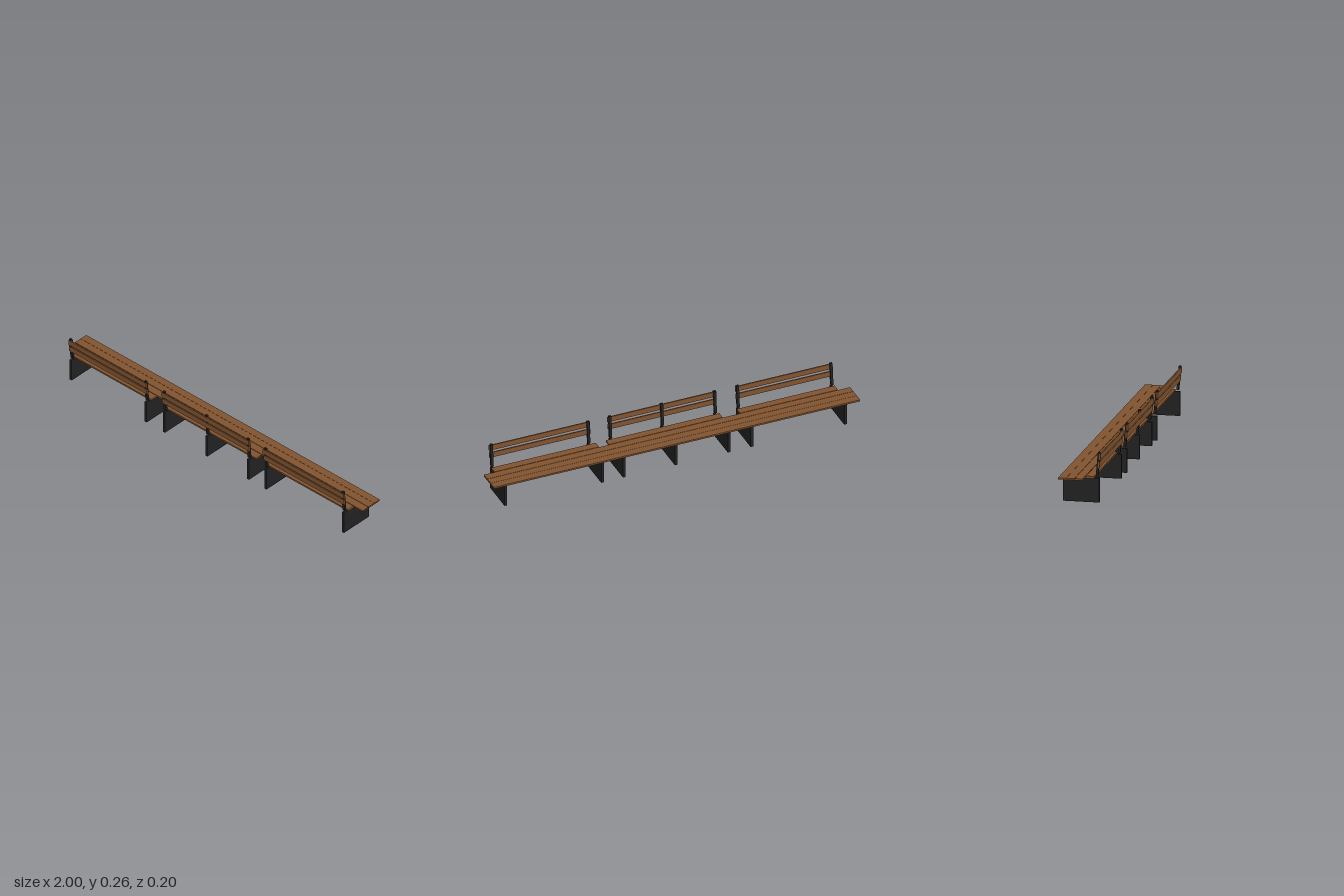
import * as THREE from 'three';

export function createModel() {
  const bench = new THREE.Group();
  bench.name = 'longBench';

  const wood = new THREE.MeshStandardMaterial({ color: 0x80532f });
  wood.name = 'brownWood';
  const metal = new THREE.MeshStandardMaterial({ color: 0x222222 });
  metal.name = 'darkMetal';

  // box given by its lower and upper limits on each axis
  function box(name, material, [x0, x1], [y0, y1], [z0, z1]) {
    const mesh = new THREE.Mesh(new THREE.BoxGeometry(x1 - x0, y1 - y0, z1 - z0), material);
    mesh.position.set((x0 + x1) / 2, (y0 + y1) / 2, (z0 + z1) / 2);
    mesh.name = name;
    bench.add(mesh);
    return mesh;
  }

  // full-length seat slats
  const seatY = [0.125, 0.134];
  for (const z of [-0.101, -0.059, -0.016]) {
    box('seatSlat', wood, [-1, 1], seatY, [z, z + 0.041]);
  }

  // leaning post outline in (z, y), extruded along x
  const postShape = new THREE.Shape([
    new THREE.Vector2(-0.089, 0.134),
    new THREE.Vector2(-0.077, 0.134),
    new THREE.Vector2(-0.088, 0.257),
    new THREE.Vector2(-0.100, 0.257),
  ]);
  const thick = 0.014;
  const postGeometry = new THREE.ExtrudeGeometry(postShape, { depth: thick, bevelEnabled: false });
  postGeometry.translate(0, 0, -thick / 2);
  postGeometry.rotateY(Math.PI / 2);

  // three sections: short seat slat, backrest slats and supports
  const sections = [
    { seat: [-0.935, -0.4], back: [-0.935, -0.405], supports: [-0.925, -0.414] },
    { seat: [-0.305, 0.315], back: [-0.3, 0.293], supports: [-0.289, 0, 0.283] },
    { seat: [0.37, 0.94], back: [0.39, 0.94], supports: [0.402, 0.93] },
  ];
  for (const { seat, back, supports } of sections) {
    box('shortSeatSlat', wood, seat, seatY, [0.028, 0.069]);
    box('upperBackSlat', wood, back, [0.22, 0.249], [0.095, 0.102]);
    box('lowerBackSlat', wood, back, [0.18, 0.209], [0.09, 0.097]);

    for (const x of supports) {
      box('legPanel', metal, [x - thick / 2, x + thick / 2], [0, 0.125], [-0.09, 0.095]);
      const post = new THREE.Mesh(postGeometry, metal);
      post.position.x = x;
      post.name = 'backPost';
      bench.add(post);
    }
  }

  return bench;
}
